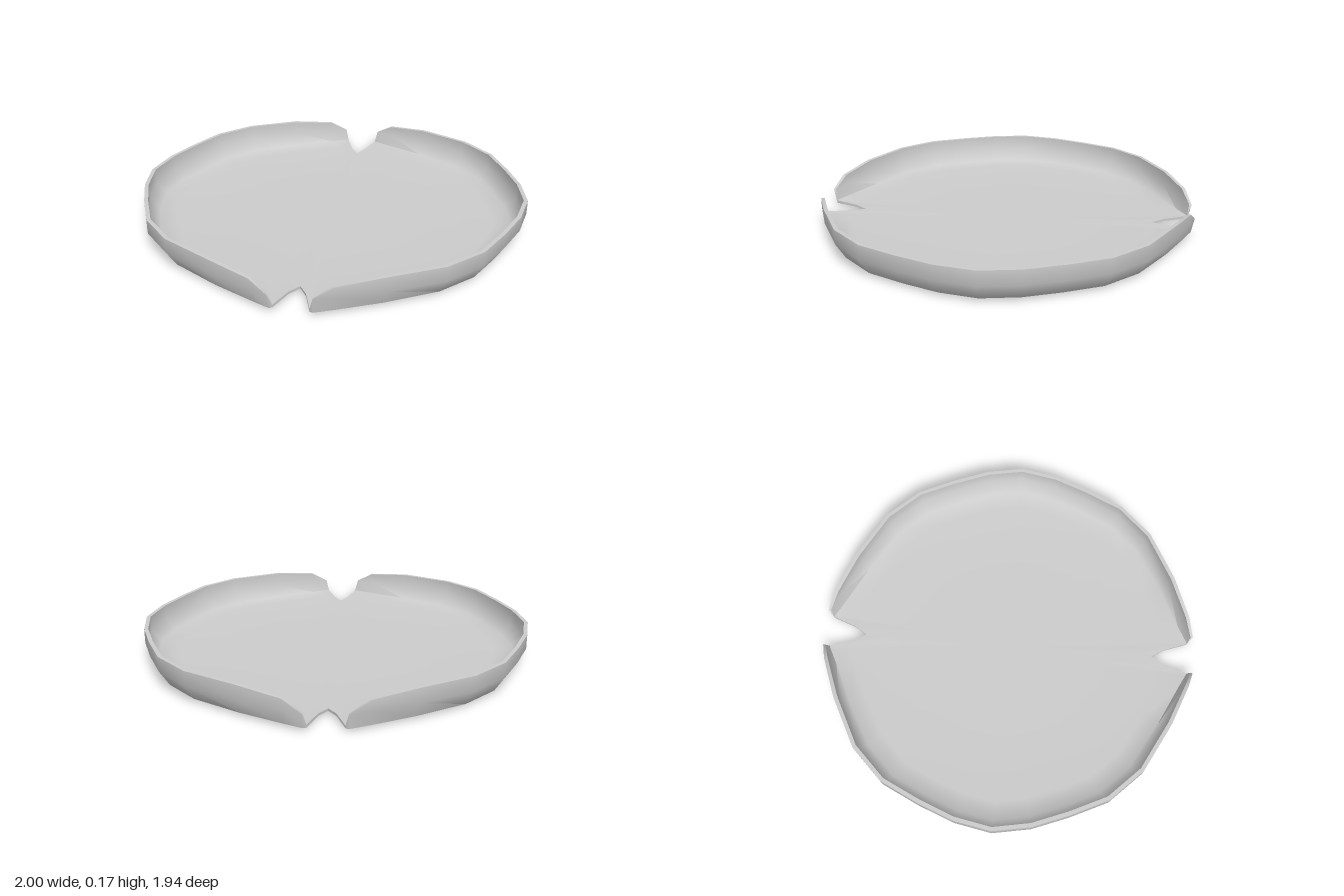
import * as THREE from 'three';
import { toCreasedNormals } from 'three/addons/utils/BufferGeometryUtils.js';

// One quarter of the outline: x, z, rim height, foot size relative to the rim, wall thickness
const QUARTER = [
  [1, 0, 0.17, 0.95, 0.02],
  [0.965, 0.19, 0.17, 0.95, 0.02],
  [0.895, 0.37, 0.17, 0.95, 0.02],
  [0.805, 0.56, 0.17, 0.95, 0.02],
  [0.65, 0.72, 0.17, 0.95, 0.02],
  [0.4, 0.855, 0.168, 0.96, 0.02],
  [0.19, 0.94, 0.145, 0.975, 0.018],
  [0.1, 0.97, 0.09, 0.985, 0.012],
  // edge of the notch
  [0.083, 0.95, 0.03, 1, 0],
  [0.04, 0.83, 0.026, 1, 0],
  [0, 0.765, 0.02, 1, 0],
];

// Mirror the quarter into a closed outline, running from +x towards +z
function fullOutline() {
  const flip = (list, sx, sz) => list.map(([x, z, ...rest]) => [x * sx, z * sz, ...rest]);
  const back = [...QUARTER].reverse();
  return [
    ...QUARTER,
    ...flip(back.slice(1), -1, 1),
    ...flip(QUARTER.slice(1), -1, -1),
    ...flip(back.slice(1, -1), 1, -1),
  ];
}

// Cross-section of the dish: underside, outer wall, rim, inner wall, floor
function section([x, z, top, foot, wall]) {
  const r = Math.hypot(x, z);
  const at = (s, y, inset = 0) => new THREE.Vector3(x * (s - inset / r), y, z * (s - inset / r));
  const mid = Math.min(0.095, top);
  const floor = Math.min(0.032, top);
  return [
    at(0, 0),
    at(foot * 0.5, 0.002),
    at(foot * 0.8, 0.006),
    at(foot, Math.min(0.016, top - 0.012)),
    at(1, mid),
    at(1, top),
    at(1, top, wall),
    at(1, mid, wall),
    at(foot, floor, wall),
    at(foot * 0.88, Math.min(0.022, floor)),
    at(foot * 0.5, 0.017),
    at(0, 0.015),
  ];
}

function dishGeometry() {
  const rings = fullOutline().map(section);
  const positions = [];
  const tri = new THREE.Triangle();
  const add = (a, b, c) => {
    tri.set(a, b, c);
    if (tri.getArea() > 1e-7) positions.push(...a.toArray(), ...b.toArray(), ...c.toArray());
  };
  rings.forEach((ring, i) => {
    const next = rings[(i + 1) % rings.length];
    for (let k = 0; k < ring.length - 1; k++) {
      add(ring[k], ring[k + 1], next[k + 1]);
      add(ring[k], next[k + 1], next[k]);
    }
  });
  const geometry = new THREE.BufferGeometry();
  geometry.setAttribute('position', new THREE.Float32BufferAttribute(positions, 3));
  return toCreasedNormals(geometry, 1.0);
}

export function createModel() {
  const group = new THREE.Group();
  group.name = 'notchedDish';
  const dish = new THREE.Mesh(dishGeometry(), new THREE.MeshStandardMaterial({ color: 0xcccccc }));
  dish.name = 'dish';
  group.add(dish);
  return group;
}
